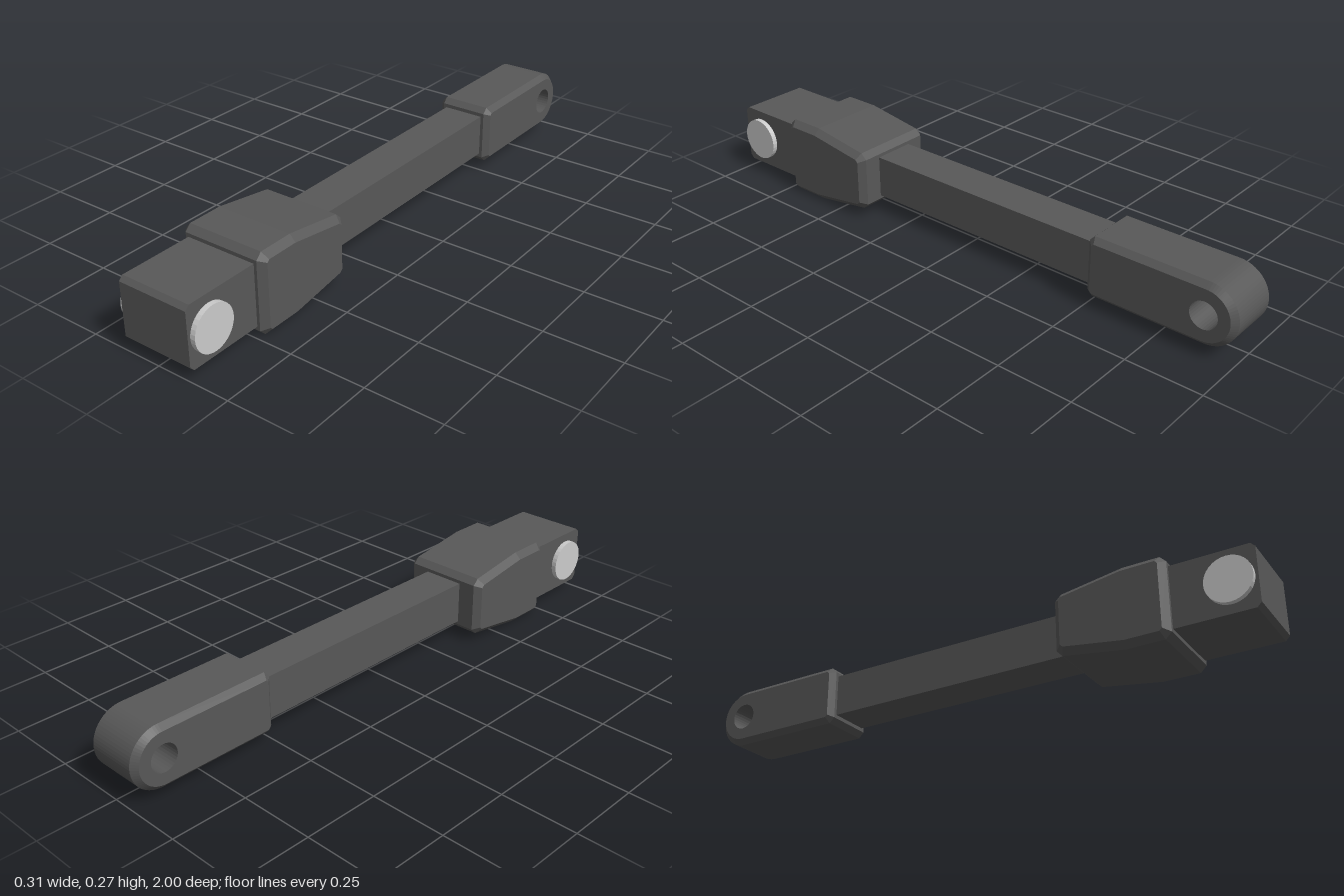
import * as THREE from 'three';

const MID = 0.135; // height of the long axis

export function createModel() {
  const group = new THREE.Group();
  const dark = new THREE.MeshStandardMaterial({ color: 0x585858, flatShading: true });
  const metal = new THREE.MeshStandardMaterial({ color: 0xcccccc, flatShading: true });

  const add = (name, geometry, material = dark) => {
    const mesh = new THREE.Mesh(geometry, material);
    mesh.name = name;
    mesh.position.y = MID;
    group.add(mesh);
    return mesh;
  };

  // Extrude a side profile (z, y) across x, with chamfered side edges
  const acrossX = (shape, width, bevel) => {
    const geometry = new THREE.ExtrudeGeometry(shape, {
      depth: width - 2 * bevel, curveSegments: 16,
      bevelEnabled: bevel > 0, bevelSize: bevel, bevelThickness: bevel,
      bevelOffset: -bevel, bevelSegments: 1,
    });
    geometry.translate(0, 0, bevel - width / 2);
    return geometry;
  };
  const toX = (geometry) => geometry.rotateY(-Math.PI / 2);

  // Closed profile from its upper half, mirrored about the axis
  const mirrored = (upper) => new THREE.Shape([
    ...upper.map(([z, y]) => new THREE.Vector2(z, -y)),
    ...upper.slice().reverse().map(([z, y]) => new THREE.Vector2(z, y)),
  ]);

  // Front block with chamfered nose
  add('frontBlock', toX(acrossX(
    mirrored([[0.7, 0.102], [0.986, 0.102], [1, 0.088]]), 0.244, 0)));

  // Pin ends on both sides of the front block
  for (const side of [1, -1]) {
    const pin = add(side > 0 ? 'leftPin' : 'rightPin',
      new THREE.CylinderGeometry(0.073, 0.073, 0.03, 32).rotateZ(Math.PI / 2), metal);
    pin.position.set(side * 0.124, MID, 0.918);
  }

  // Tapered housing
  add('housing', toX(acrossX(mirrored([
    [0.375, 0.083], [0.395, 0.103], [0.6, 0.134], [0.72, 0.134], [0.74, 0.114],
  ]), 0.306, 0.021)));

  // Square shaft
  const shaft = add('shaft', new THREE.BoxGeometry(0.142, 0.143, 0.92));
  shaft.position.z = -0.06;

  // Rear lug: rounded end with a cross hole
  const R = 0.102, holeZ = -0.898, holeR = 0.045;
  const lug = new THREE.Shape();
  lug.moveTo(holeZ, -R);
  lug.lineTo(-0.518, -R);
  lug.lineTo(-0.5, -R + 0.018);
  lug.lineTo(-0.5, R - 0.018);
  lug.lineTo(-0.518, R);
  lug.lineTo(holeZ, R);
  lug.absarc(holeZ, 0, R, Math.PI / 2, Math.PI * 1.5, false);
  lug.holes.push(new THREE.Path().absarc(holeZ, 0, holeR, 0, Math.PI * 2, true));
  const lugGeometry = acrossX(lug, 0.2, 0.018);

  // Keep the hole straight: pull its chamfered rim back to the bore radius
  const p = lugGeometry.attributes.position;
  for (let i = 0; i < p.count; i++) {
    const dx = p.getX(i) - holeZ, dy = p.getY(i), d = Math.hypot(dx, dy);
    if (d < 0.072) p.setXY(i, holeZ + dx * holeR / d, dy * holeR / d);
  }
  lugGeometry.computeVertexNormals();
  add('rearLug', toX(lugGeometry));

  return group;
}
